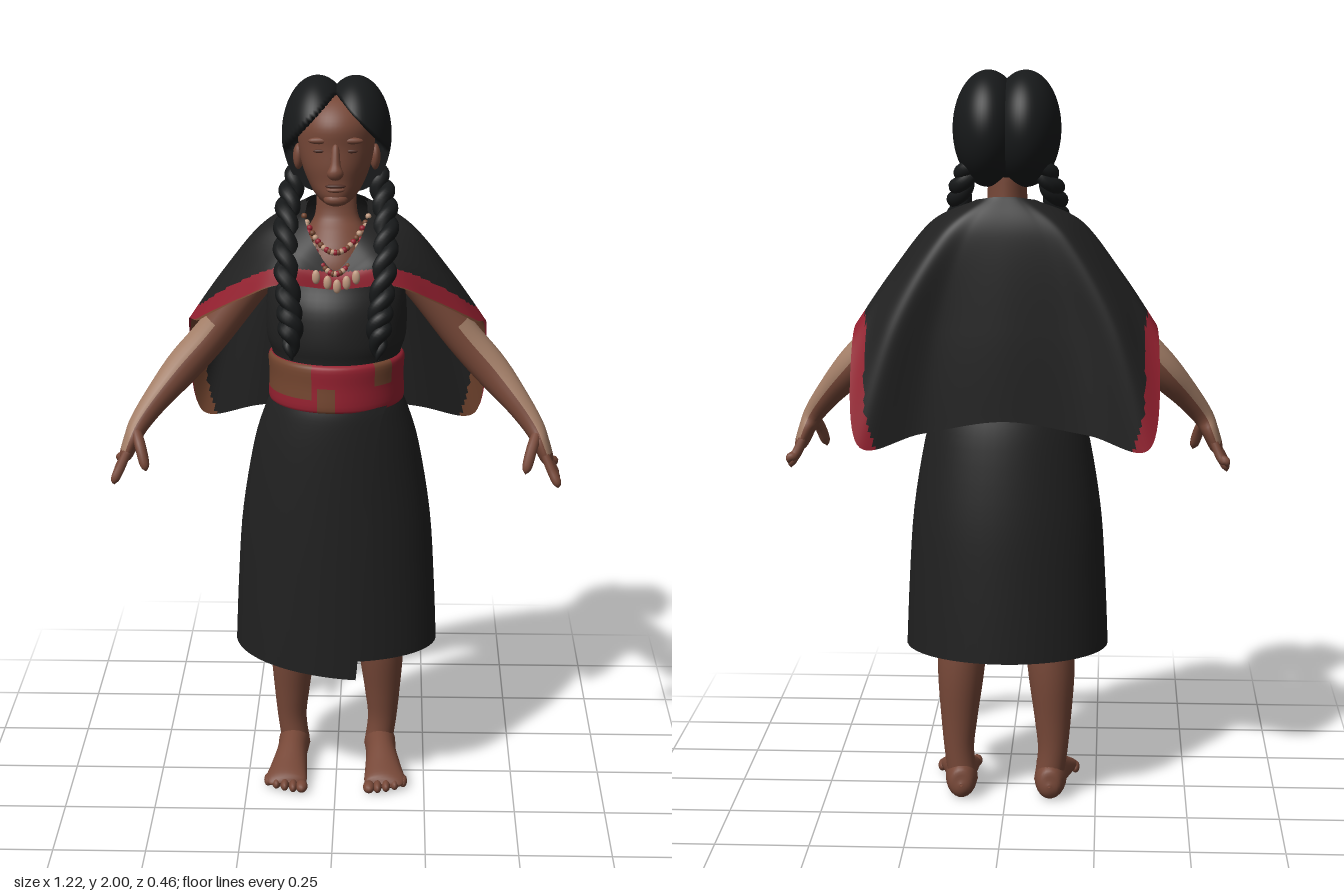
import * as THREE from 'three';

const mat = (name, color) => Object.assign(new THREE.MeshStandardMaterial({ color, side: THREE.DoubleSide }), { name });
const V = (x, y, z) => new THREE.Vector3(x, y, z);

// Catmull-Rom interpolation of rows of numbers, t from 0 to 1
function spline(rows, t, closed = false) {
  const n = rows.length, s = t * (closed ? n : n - 1);
  const i = closed ? Math.floor(s) : Math.min(Math.floor(s), n - 2), k = s - i;
  const at = (j) => rows[closed ? (j + n) % n : Math.max(0, Math.min(n - 1, j))];
  const [a, b, c, d] = [at(i - 1), at(i), at(i + 1), at(i + 2)];
  return b.map((q, m) => q + 0.5 * k * (c[m] - a[m] + k * (2 * a[m] - 5 * q + 4 * c[m] - d[m] + k * (3 * (q - c[m]) + d[m] - a[m]))));
}

// Grid surface f(u, v); pick(u, v, point) chooses a material index per cell
function surface(nu, nv, f, closed = true, pick = () => 0) {
  const pos = [], cells = [[], []], cols = closed ? nu : nu + 1;
  for (let j = 0; j <= nv; j++) for (let i = 0; i < cols; i++) pos.push(...f(i / nu, j / nv).toArray());
  for (let j = 0; j < nv; j++) for (let i = 0; i < nu; i++) {
    const k = (i + 1) % cols, a = j * cols + i, b = j * cols + k, c = b + cols, d = a + cols;
    const u = (i + 0.5) / nu, v = (j + 0.5) / nv;
    cells[pick(u, v, f(u, v))].push(a, b, c, a, c, d);
  }
  const g = new THREE.BufferGeometry();
  g.setAttribute('position', new THREE.Float32BufferAttribute(pos, 3));
  g.setIndex([...cells[0], ...cells[1]]);
  g.addGroup(0, cells[0].length, 0);
  if (cells[1].length) g.addGroup(cells[0].length, cells[1].length, 1);
  g.computeVertexNormals();
  return g;
}

// Point on a body ring: row = [y, half width, front z, back z]
function ringPoint([y, w, zf, zb], a, grow = 0) {
  const c = Math.cos(a);
  return V((w + grow) * Math.sin(a), y, c > 0 ? (zf + grow) * c : -(zb - grow) * c);
}
const loft = (rows, pick, n = 48) =>
  surface(n, (rows.length - 1) * 4, (u, v) => ringPoint(spline(rows, v), u * 2 * Math.PI), true, pick);

// Limb along rows [x, y, z, radius along ref, radius across]
function sweep(rows, { n = 16, nv = rows.length * 4, ref = V(0, 0, 1), pick, floor = -9 } = {}) {
  return surface(n, nv, (u, v) => {
    const r = spline(rows, v), p = V(r[0], r[1], r[2]);
    const p0 = V(...spline(rows, Math.max(0, v - 0.01)).slice(0, 3)), p1 = V(...spline(rows, Math.min(1, v + 0.01)).slice(0, 3));
    const T = p1.sub(p0).normalize(), N = ref.clone().addScaledVector(T, -ref.dot(T)).normalize(), B = T.clone().cross(N);
    const a = u * 2 * Math.PI;
    p.addScaledVector(N, Math.cos(a) * r[3]).addScaledVector(B, Math.sin(a) * r[4]);
    p.y = Math.max(p.y, floor);
    return p;
  }, true, pick);
}

export function createModel() {
  const root = new THREE.Group();
  root.name = 'wovenCapeFigure';
  const cloth = mat('blackCloth', 0x202020), hair = mat('blackHair', 0x17191a), skin = mat('brownSkin', 0x774838);
  const tan = mat('lightSkin', 0xa58069), red = mat('redTrim', 0x94202f), lining = mat('brownWeave', 0x73452f);
  const dark = mat('darkSkin', 0x4f2e25), ivory = mat('ivoryBead', 0xc09a80);
  const add = (name, geo, m, parent = root) => {
    const mesh = new THREE.Mesh(geo, m);
    mesh.name = name;
    parent.add(mesh);
    return mesh;
  };
  const blob = (name, m, [x, y, z], [sx, sy, sz], parent = root) =>
    add(name, new THREE.SphereGeometry(1, 16, 12).scale(sx, sy, sz).translate(x, y, z), m, parent);

  // Dress with overlapping front flap
  const skirtRows = [[0.42, 0.28, 0.19, -0.23], [0.6, 0.272, 0.187, -0.222], [0.8, 0.258, 0.184, -0.208],
    [1.0, 0.225, 0.18, -0.178], [1.1, 0.195, 0.175, -0.15], [1.14, 0.178, 0.168, -0.13]];
  add('skirt', loft(skirtRows), cloth);
  add('bodice', loft([[1.13, 0.174, 0.168, -0.13], [1.25, 0.172, 0.165, -0.13], [1.31, 0.188, 0.172, -0.14],
    [1.4, 0.188, 0.16, -0.14], [1.46, 0.175, 0.13, -0.13], [1.5, 0.14, 0.115, -0.11]]), cloth);
  add('skirtFlap', surface(24, 24, (u, v) => {
    const row = spline(skirtRows, v), edge = 0.055 + 0.075 * v;
    const a = THREE.MathUtils.lerp(-1.45, Math.asin(edge / row[1]), u);
    const p = ringPoint(row, a, 0.002 + 0.01 * u);
    p.y -= 0.05 * u * (1 - v) ** 3;
    return p;
  }, false), cloth);

  // Woven belt with brown blocks
  add('belt', loft([[1.13, 0.176, 0.17, -0.13], [1.14, 0.184, 0.182, -0.138], [1.2, 0.182, 0.18, -0.137],
    [1.25, 0.184, 0.18, -0.138], [1.262, 0.174, 0.168, -0.13]], (u, v) => {
    const a = u > 0.5 ? (u - 1) * 6.283 : u * 6.283;
    if (a > -1.5 && a < -0.35) return v > 0.36 && v < 0.95 ? 1 : 0;
    if (a > -0.3 && a < 0) return v > 0.1 && v < 0.5 ? 1 : 0;
    if (a > 0.65 && a < 1.0) return v > 0.5 ? 1 : 0;
    return Math.abs(a) > 1.7 && v > 0.55 ? 1 : 0;
  }, 72), [red, lining]);

  // Cape: columns from the front centre round to the back, each from hem to neck
  const half = [
    [0, 1.465, 0.145, 0, 1.485, 0.142, 0, 1.5, 0.137, 0, 1.512, 0.13],
    [0.15, 1.475, 0.142, 0.12, 1.52, 0.137, 0.09, 1.55, 0.12, 0.06, 1.58, 0.1],
    [0.255, 1.425, 0.09, 0.21, 1.51, 0.085, 0.15, 1.585, 0.06, 0.085, 1.635, 0.03],
    [0.375, 1.345, 0.0, 0.3, 1.465, 0.0, 0.2, 1.595, 0.0, 0.085, 1.65, -0.03],
    [0.41, 1.29, -0.12, 0.31, 1.45, -0.09, 0.19, 1.6, -0.07, 0.08, 1.66, -0.08],
    [0.39, 1.02, -0.22, 0.3, 1.33, -0.19, 0.17, 1.57, -0.145, 0.06, 1.665, -0.1],
    [0.22, 1.045, -0.185, 0.18, 1.32, -0.17, 0.1, 1.57, -0.15, 0.03, 1.67, -0.108],
    [0, 1.08, -0.19, 0, 1.32, -0.178, 0, 1.57, -0.152, 0, 1.67, -0.11]];
  const flip = (c) => c.map((q, i) => (i % 3 ? q : -q));
  const columns = [...half, ...half.slice(1, 7).reverse().map(flip)];
  const capePoint = (u, v) => {
    const c = spline(columns, u % 1, true);
    return V(...spline([0, 3, 6, 9].map((i) => c.slice(i, i + 3)), v));
  };
  const edge = [];
  for (let i = -75; i <= 75; i++) edge.push(capePoint((i / 15 / 14 + 1) % 1, 0));
  const capeGeo = surface(196, 56, capePoint, true, (u, v, p) => (edge.some((e) => e.distanceTo(p) < 0.045) ? 1 : 0));
  add('cape', capeGeo, [cloth, red]);
  const inner = capeGeo.clone(), ip = inner.attributes.position, nrm = capeGeo.attributes.normal;
  for (let i = 0; i < ip.count; i++)
    ip.setXYZ(i, ip.getX(i) - nrm.getX(i) * 0.008, ip.getY(i) - nrm.getY(i) * 0.008, ip.getZ(i) - nrm.getZ(i) * 0.008);
  inner.setIndex([...inner.index.array].reverse());
  inner.clearGroups();
  const total = inner.index.count, [g0, g1] = capeGeo.groups;
  inner.addGroup(0, g1.count, 1);
  inner.addGroup(total - g0.count, g0.count, 0);
  inner.computeVertexNormals();
  add('capeLining', inner, [cloth, lining]);

  // Neck, chest and head
  add('neckAndChest', loft([[1.42, 0.13, 0.11, -0.1], [1.5, 0.125, 0.118, -0.1], [1.56, 0.1, 0.095, -0.1],
    [1.6, 0.075, 0.065, -0.09], [1.64, 0.056, 0.035, -0.08], [1.72, 0.052, 0.03, -0.08]]), skin);
  add('head', loft([[1.672, 0.002, 0.06, 0.02], [1.675, 0.035, 0.09, -0.01], [1.7, 0.06, 0.11, -0.03], [1.74, 0.08, 0.109, -0.06],
    [1.78, 0.093, 0.112, -0.1], [1.83, 0.101, 0.11, -0.12], [1.88, 0.1, 0.112, -0.12], [1.92, 0.085, 0.09, -0.11],
    [1.95, 0.05, 0.05, -0.07], [1.96, 0.001, 0.001, -0.001]]), skin);
  add('nose', sweep([[0, 1.845, 0.1, 0.004, 0.004], [0, 1.83, 0.107, 0.012, 0.01], [0, 1.79, 0.121, 0.016, 0.014],
    [0, 1.768, 0.127, 0.02, 0.022], [0, 1.755, 0.118, 0.004, 0.01]]), skin);
  blob('upperLip', dark, [0, 1.732, 0.107], [0.027, 0.006, 0.01]);
  blob('lowerLip', skin, [0, 1.722, 0.107], [0.024, 0.007, 0.011]);
  blob('chin', skin, [0, 1.694, 0.092], [0.032, 0.018, 0.022]);

  for (const s of [1, -1]) {
    const side = s > 0 ? 'left' : 'right';
    const M = (rows) => rows.map(([x, ...rest]) => [x * s, ...rest]);
    blob(side + 'Eye', dark, [s * 0.04, 1.823, 0.1], [0.018, 0.005, 0.005]);
    blob(side + 'Brow', skin, [s * 0.042, 1.85, 0.098], [0.03, 0.009, 0.01]);
    blob(side + 'Ear', skin, [s * 0.102, 1.785, -0.025], [0.014, 0.035, 0.022]);

    // Hair lobe, drawn back below the hairline
    const lobe = new THREE.SphereGeometry(1, 56, 48).scale(0.095, 0.155, 0.15).translate(s * 0.05, 1.845, -0.02);
    const p = lobe.attributes.position;
    for (let i = 0; i < p.count; i++) {
      const x = p.getX(i), y = p.getY(i), z = p.getZ(i);
      const k = THREE.MathUtils.smoothstep(1.955 - 1.05 * Math.abs(x) - y, -0.012, 0.012);
      if (z > -0.03) p.setZ(i, THREE.MathUtils.lerp(z, -0.03, k));
    }
    lobe.computeVertexNormals();
    add(side + 'Hair', lobe, hair);

    // Braid: two strands wound round a hanging path
    const path = [[0.085, 1.77, -0.07], [0.115, 1.71, -0.055], [0.13, 1.65, 0.005], [0.132, 1.58, 0.08],
      [0.127, 1.5, 0.135], [0.12, 1.42, 0.172], [0.115, 1.36, 0.195], [0.113, 1.29, 0.21]];
    const braid = new THREE.Group();
    braid.name = side + 'Braid';
    root.add(braid);
    for (const phase of [0, Math.PI]) {
      const rows = [];
      for (let i = 0; i <= 90; i++) {
        const t = i / 90, [x, y, z] = spline(path, t), a = phase + t * 34;
        const taper = Math.min(1, (1 - t) * 7 + 0.12), r = 0.021 * taper, o = 0.014 * taper;
        rows.push([s * (x + o * Math.cos(a)), y + 0.5 * o * Math.sin(a), z + 0.8 * o * Math.sin(a), r, r]);
      }
      add('strand', sweep(rows, { n: 10, nv: 140 }), hair, braid);
    }

    // Arm, lighter on its outer face, with fingers
    add(side + 'Arm', sweep(M([[0.15, 1.52, -0.03, 0.045, 0.045], [0.24, 1.42, -0.045, 0.052, 0.05], [0.34, 1.29, -0.045, 0.05, 0.05],
      [0.42, 1.2, -0.03, 0.047, 0.049], [0.49, 1.12, 0.008, 0.036, 0.037], [0.535, 1.06, 0.035, 0.032, 0.029],
      [0.555, 1.02, 0.042, 0.047, 0.024], [0.575, 0.97, 0.047, 0.047, 0.018], [0.583, 0.955, 0.048, 0.01, 0.005]]),
    { n: 24, pick: (u, v) => (v > 0.22 && v < 0.84 && s * Math.sin(u * 2 * Math.PI) < -0.15 ? 1 : 0) }), [skin, tan]);
    for (let i = 0; i < 4; i++) {
      const z = 0.085 - i * 0.026, out = (1.5 - i) * 0.008, tip = 0.905 + (i === 3 ? 0.02 : 0);
      add(side + 'Finger', sweep(M([[0.567, 0.99, z, 0.012, 0.012], [0.585, 0.95, z + out, 0.013, 0.013],
        [0.6, tip + 0.015, z + out * 2, 0.012, 0.012], [0.603, tip, z + out * 2, 0.001, 0.001]]), { n: 10 }), skin);
    }
    add(side + 'Thumb', sweep(M([[0.545, 1.045, 0.06, 0.014, 0.014], [0.53, 1.01, 0.095, 0.017, 0.015],
      [0.517, 0.965, 0.118, 0.013, 0.013], [0.513, 0.948, 0.122, 0.001, 0.001]]), { n: 10 }), skin);

    // Leg and bare foot
    add(side + 'Leg', sweep(M([[0.118, 0.04, -0.085, 0.045, 0.04], [0.13, 0.13, -0.085, 0.043, 0.041], [0.13, 0.22, -0.08, 0.052, 0.05],
      [0.126, 0.34, -0.073, 0.068, 0.063], [0.12, 0.45, -0.065, 0.072, 0.068], [0.115, 0.62, -0.04, 0.075, 0.07]]), { n: 24 }), skin);
    add(side + 'Foot', sweep(M([[0.122, 0.045, -0.147, 0.004, 0.004], [0.122, 0.045, -0.135, 0.04, 0.032], [0.124, 0.05, -0.09, 0.056, 0.044],
      [0.128, 0.046, -0.02, 0.05, 0.043], [0.135, 0.032, 0.06, 0.035, 0.052], [0.14, 0.022, 0.115, 0.023, 0.058],
      [0.14, 0.018, 0.135, 0.006, 0.04]]), { n: 24, ref: V(0, 1, 0), floor: 0 }), skin);
    for (let i = 0; i < 5; i++)
      blob(side + 'Toe', skin, [s * (0.095 + i * 0.024), 0.017, 0.142 - i * i * 0.0025], [i ? 0.012 : 0.017, 0.016, 0.026]);
  }

  // Necklaces of beads with pale pendants
  const beads = new THREE.Group();
  beads.name = 'necklace';
  root.add(beads);
  for (const [drop, n] of [[1.555, 22], [1.505, 26]]) for (let i = 0; i <= n; i++) {
    const a = (i / n) * 2 - 1, y = drop + (1.635 - drop) * a * a;
    blob('bead', [lining, ivory, red][i % 3], [a * 0.085, y, 0.148 - (y - 1.49) * 0.62 - 0.03 * a * a], [0.008, 0.008, 0.008], beads);
  }
  for (const [x, y] of [[-0.05, 1.5], [-0.02, 1.485], [0.005, 1.475], [0.03, 1.485], [0.055, 1.5]])
    blob('pendant', ivory, [x, y, 0.152], [0.011, 0.019, 0.008], beads);
  return root;
}
